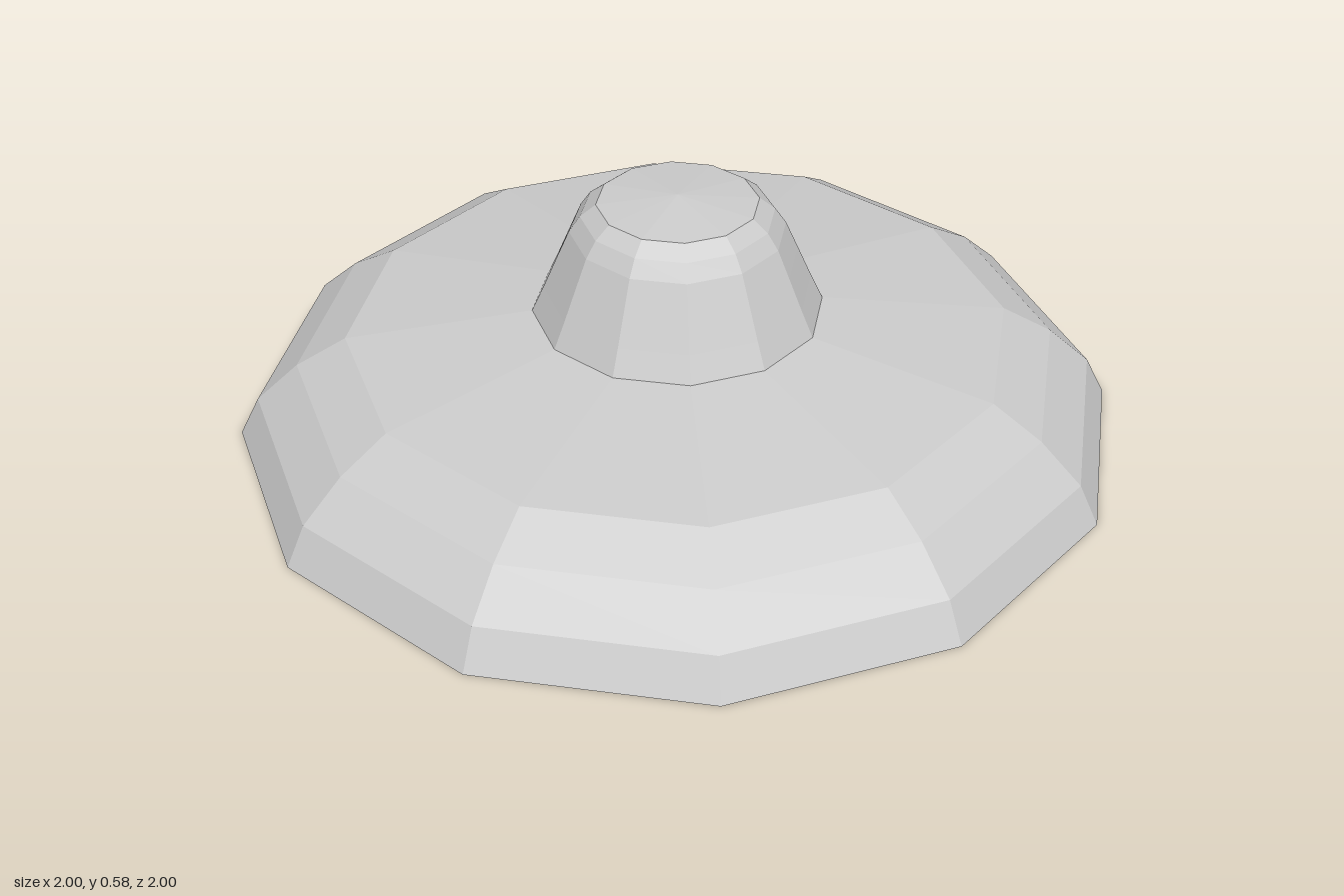
import * as THREE from 'three';

const SIDES = 12;

// Faceted open shell turned from a [radius, height] profile, bottom to top
function shell(name, profile) {
  const points = profile.map(([r, y]) => new THREE.Vector2(r, y));
  const material = new THREE.MeshStandardMaterial({
    color: 0xcccccc, flatShading: true, side: THREE.DoubleSide,
  });
  const mesh = new THREE.Mesh(new THREE.LatheGeometry(points, SIDES), material);
  mesh.name = name;
  return mesh;
}

export function createModel() {
  const group = new THREE.Group();
  group.name = 'domedCover';

  // Wide rounded skirt with a gently sloping top, hollow underneath
  group.add(shell('skirt', [
    [1, 0], [0.955, 0.09], [0.86, 0.177], [0.747, 0.243], [0.327, 0.295],
  ]));

  // Hollow tapering neck with a rounded shoulder
  group.add(shell('neck', [
    [0.327, 0.295], [0.3, 0.355], [0.268, 0.43], [0.24, 0.495], [0.215, 0.532], [0.18, 0.56],
  ]));

  // Shallow pointed cap closing the neck
  group.add(shell('cap', [[0.18, 0.56], [0, 0.577]]));

  return group;
}
